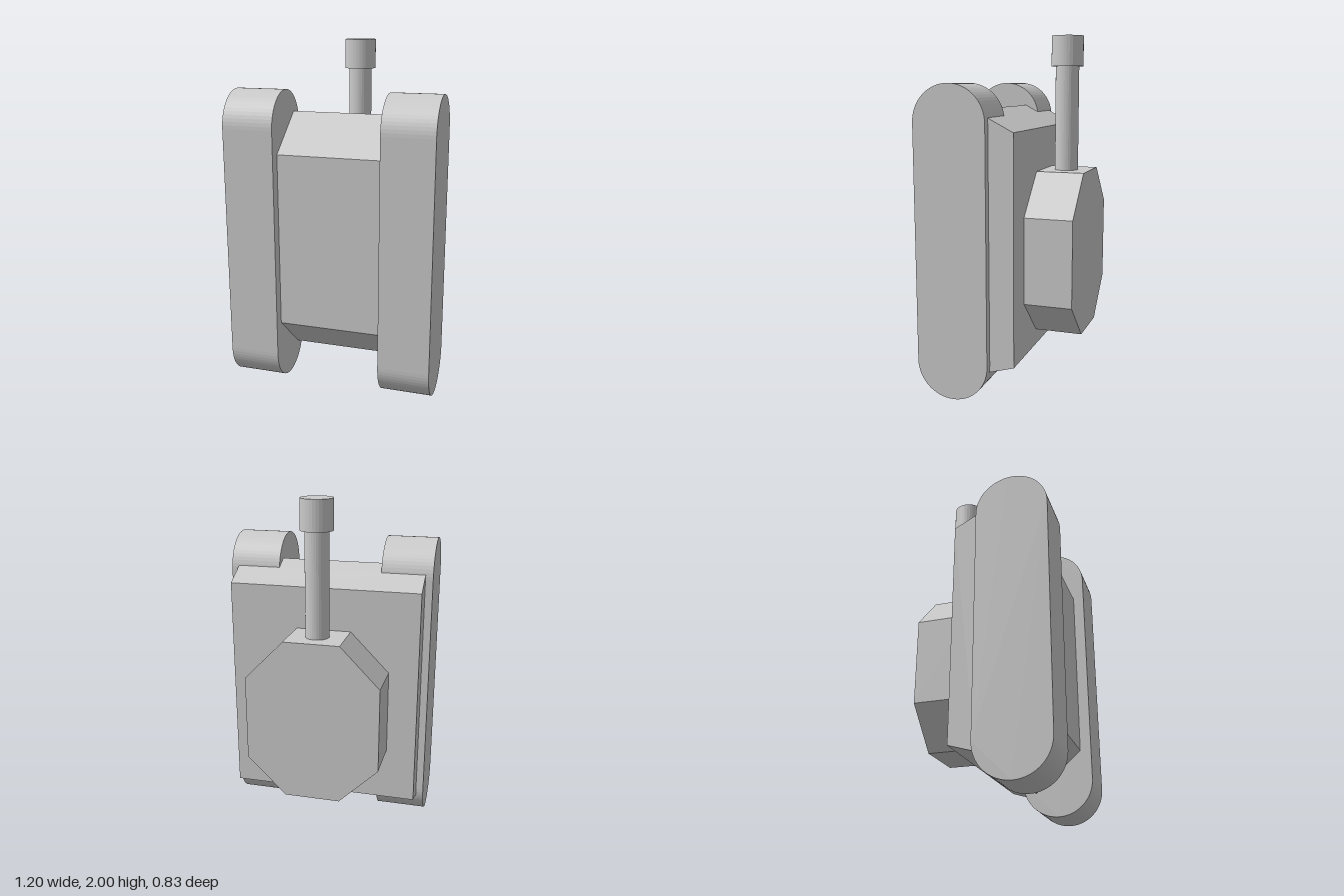
import * as THREE from 'three';

const material = new THREE.MeshStandardMaterial({ color: 0xcccccc, flatShading: true });

function addMesh(parent, name, geometry) {
  const mesh = new THREE.Mesh(geometry, material);
  mesh.name = name;
  parent.add(mesh);
  return mesh;
}

// Extrudes a (z, y) side profile across x, from x0 to x1
function sideExtrude(shape, x0, x1) {
  const g = new THREE.ExtrudeGeometry(shape, { depth: x1 - x0, bevelEnabled: false, curveSegments: 16 });
  g.rotateY(-Math.PI / 2); // shape x -> +z, depth -> -x
  g.translate(x1, 0, 0);
  return g;
}

const polygon = (points) => new THREE.Shape(points.map(([a, b]) => new THREE.Vector2(a, b)));

export function createModel() {
  const tank = new THREE.Group();
  tank.name = 'tankOnEnd';

  // Tracks: stadium profiles standing on end
  const r = 0.207;
  const top = 1.737;
  const track = new THREE.Shape();
  track.moveTo(2 * r, r);
  track.lineTo(2 * r, top - r);
  track.absarc(r, top - r, r, 0, Math.PI, false);
  track.lineTo(0, r);
  track.absarc(r, r, r, Math.PI, Math.PI * 2, false);
  addMesh(tank, 'leftTrack', sideExtrude(track, 0.303, 0.598));
  addMesh(tank, 'rightTrack', sideExtrude(track, -0.598, -0.303));

  // Narrow hull between the tracks, with sloped ends
  addMesh(tank, 'lowerHull', sideExtrude(polygon([
    [0.35, 0.38], [0.35, 1.39], [0.08, 1.6], [0.005, 1.56], [0.005, 0.167], [0.08, 0.143],
  ]), -0.304, 0.304));

  // Wide deck overlapping the tracks
  addMesh(tank, 'upperHull', sideExtrude(polygon([
    [0.008, 0.166], [0.008, 1.562], [-0.14, 1.485], [-0.14, 0.21],
  ]), -0.555, 0.555));

  // Octagonal turret
  const turret = new THREE.ExtrudeGeometry(polygon([
    [0.16, 0.3], [0.385, 0.52], [0.385, 1.01], [0.16, 1.24],
    [-0.16, 1.24], [-0.385, 1.01], [-0.385, 0.52], [-0.16, 0.3],
  ]), { depth: 0.276, bevelEnabled: false });
  addMesh(tank, 'turret', turret).position.z = -0.415;

  // Gun barrel and muzzle
  addMesh(tank, 'barrel', new THREE.CylinderGeometry(0.067, 0.067, 0.64, 32)).position.set(0, 1.52, -0.272);
  addMesh(tank, 'muzzle', new THREE.CylinderGeometry(0.091, 0.091, 0.17, 32)).position.set(0, 1.915, -0.272);

  return tank;
}
